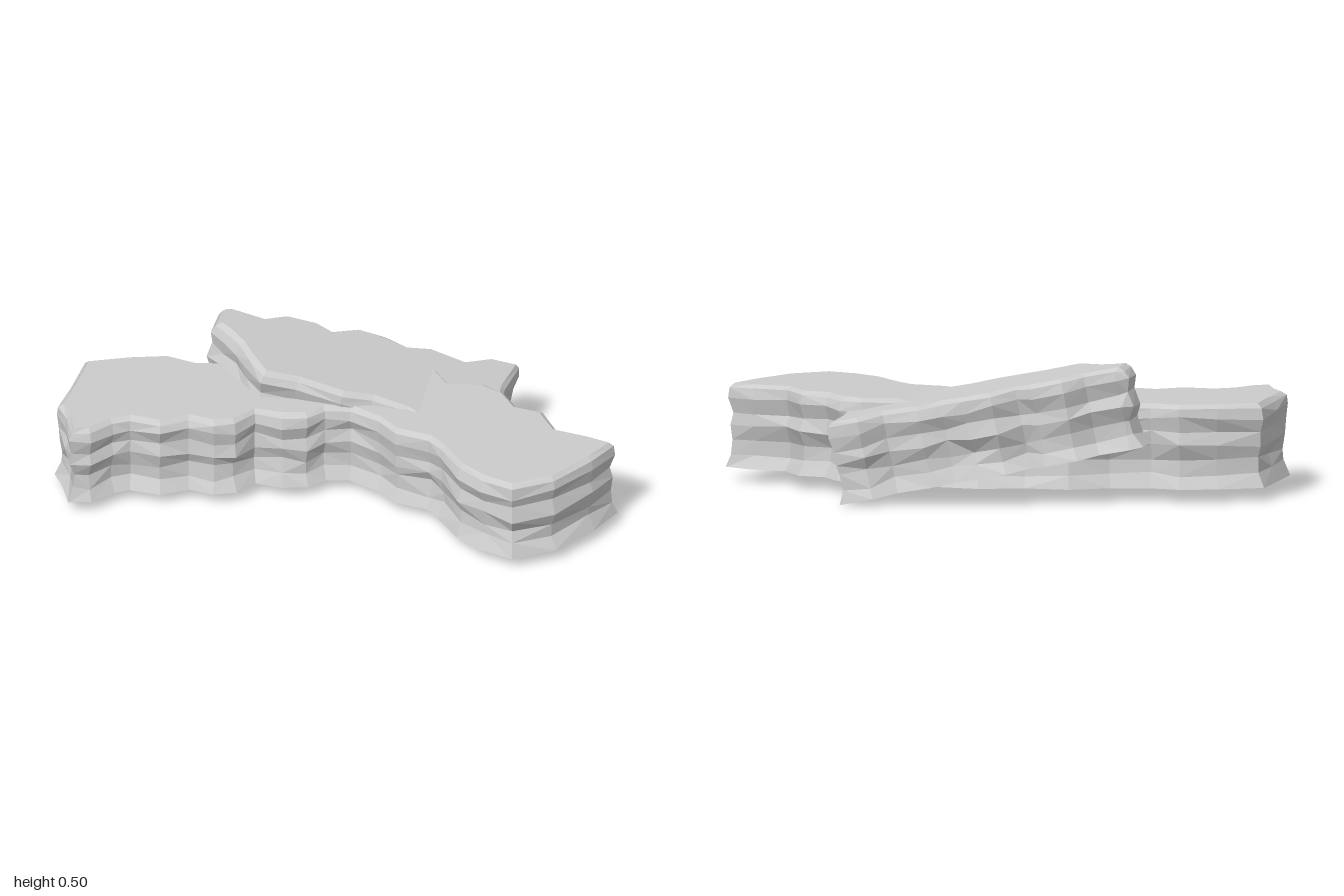
import * as THREE from 'three';

const rock = new THREE.MeshStandardMaterial({ color: 0xcccccc, flatShading: true });

// Outlines as x, z pairs, running along the back first and returning along the front.
const LOWER = [
  -1, .2, -.98, .05, -.955, -.107, -.8, -.17, -.665, -.2, -.56, -.18, -.42, -.2, -.28, -.26, -.12, -.25, .04, -.29,
  .18, -.27, .29, -.29, .35, -.21, .47, -.225, .56, -.185, .617, -.107, .714, -.09, .778, .01, .9, .027, 1, .075,
  .94, .2, .83, .35, .687, .433, .564, .396, .468, .33, .38, .225, .334, .18, .21, .155, .136, .096, .03, .048,
  -.05, .064, -.104, .118, -.195, .139, -.29, .128, -.345, .198, -.425, .225, -.516, .209, -.61, .262, -.72, .25,
  -.77, .278, -.84, .348, -.92, .366, -.96, .267,
];
const UPPER = [
  -.535, -.187, -.525, -.3, -.48, -.325, -.37, -.315, -.3, -.37, -.184, -.374, -.13, -.345, -.05, -.405, .056, -.4,
  .136, -.38, .217, -.405, .34, -.383, .42, -.443, .54, -.435, .52, -.27, .53, -.12, .47, -.03, .37, .035, .27, .07,
  .2, .03, .08, .02, -.024, .04, -.184, .03, -.31, .045, -.38, -.03, -.43, -.1, -.48, -.15,
];
// Wall strata: height fraction, inset, roughness.
const STRATA = [
  [0, 0, 0], [.16, .018, .014], [.33, .022, .016], [.5, .004, .016],
  [.66, .014, .014], [.83, .002, .008], [.95, .012, .006], [1, .03, .006],
];

const noise = (a, b) => {
  const s = Math.sin(a * 12.9898 + b * 78.233) * 43758.5453;
  return s - Math.floor(s);
};

// Slab with a rugged stratified wall, centred on its mid-height.
function slab(name, flat, height, seed) {
  const pts = [];
  for (let i = 0; i < flat.length; i += 2) pts.push(new THREE.Vector2(flat[i], flat[i + 1]));
  const n = pts.length;
  const normals = pts.map((p, i) => {
    const d = pts[(i + 1) % n].clone().sub(pts[(i + n - 1) % n]).normalize();
    return new THREE.Vector2(d.y, -d.x);
  });
  const positions = [], index = [];
  STRATA.forEach(([t, inset, rough], k) => pts.forEach((p, i) => {
    const q = p.clone().addScaledVector(normals[i], -inset - rough * noise(i + seed, k));
    const wave = k > 0 && k < STRATA.length - 1 ? (noise(i + seed, k + 31) - .5) * .02 : 0;
    positions.push(q.x, (t - .5) * height + wave * (k === STRATA.length - 2 ? .3 : 1), q.y);
  }));
  for (let k = 0; k < STRATA.length - 1; k++) {
    for (let i = 0; i < n; i++) {
      const a = k * n + i, b = k * n + (i + 1) % n;
      if (noise(i, k + seed) > .5) index.push(a, a + n, b + n, a, b + n, b);
      else index.push(a, a + n, b, a + n, b + n, b);
    }
  }
  // Flat caps, wound to face down and up.
  for (const [layer, up] of [[0, false], [STRATA.length - 1, true]]) {
    const base = layer * n;
    const ring = pts.map((_, i) => new THREE.Vector2(positions[(base + i) * 3], positions[(base + i) * 3 + 2]));
    for (const [a, b, c] of THREE.ShapeUtils.triangulateShape(ring, [])) {
      const facesUp = ring[b].clone().sub(ring[a]).cross(ring[c].clone().sub(ring[a])) < 0;
      if (facesUp === up) index.push(base + a, base + b, base + c);
      else index.push(base + a, base + c, base + b);
    }
  }
  const geometry = new THREE.BufferGeometry();
  geometry.setAttribute('position', new THREE.Float32BufferAttribute(positions, 3));
  geometry.setIndex(index);
  const faceted = geometry.toNonIndexed();
  faceted.computeVertexNormals();
  const mesh = new THREE.Mesh(faceted, rock);
  mesh.name = name;
  return mesh;
}

export function createModel() {
  const group = new THREE.Group();
  group.name = 'rockLedge';

  // Long level ledge
  const level = slab('levelSlab', LOWER, .3, 3);
  level.position.y = .205;

  // Second slab driven through it at a slant
  const tilt = Math.atan(.2);
  const slanted = slab('slantedSlab', UPPER.map((v, i) => (i % 2 ? v : v / Math.cos(tilt))), .294, 17);
  slanted.rotation.z = -tilt;
  slanted.position.y = .26;

  group.add(level, slanted);
  return group;
}
